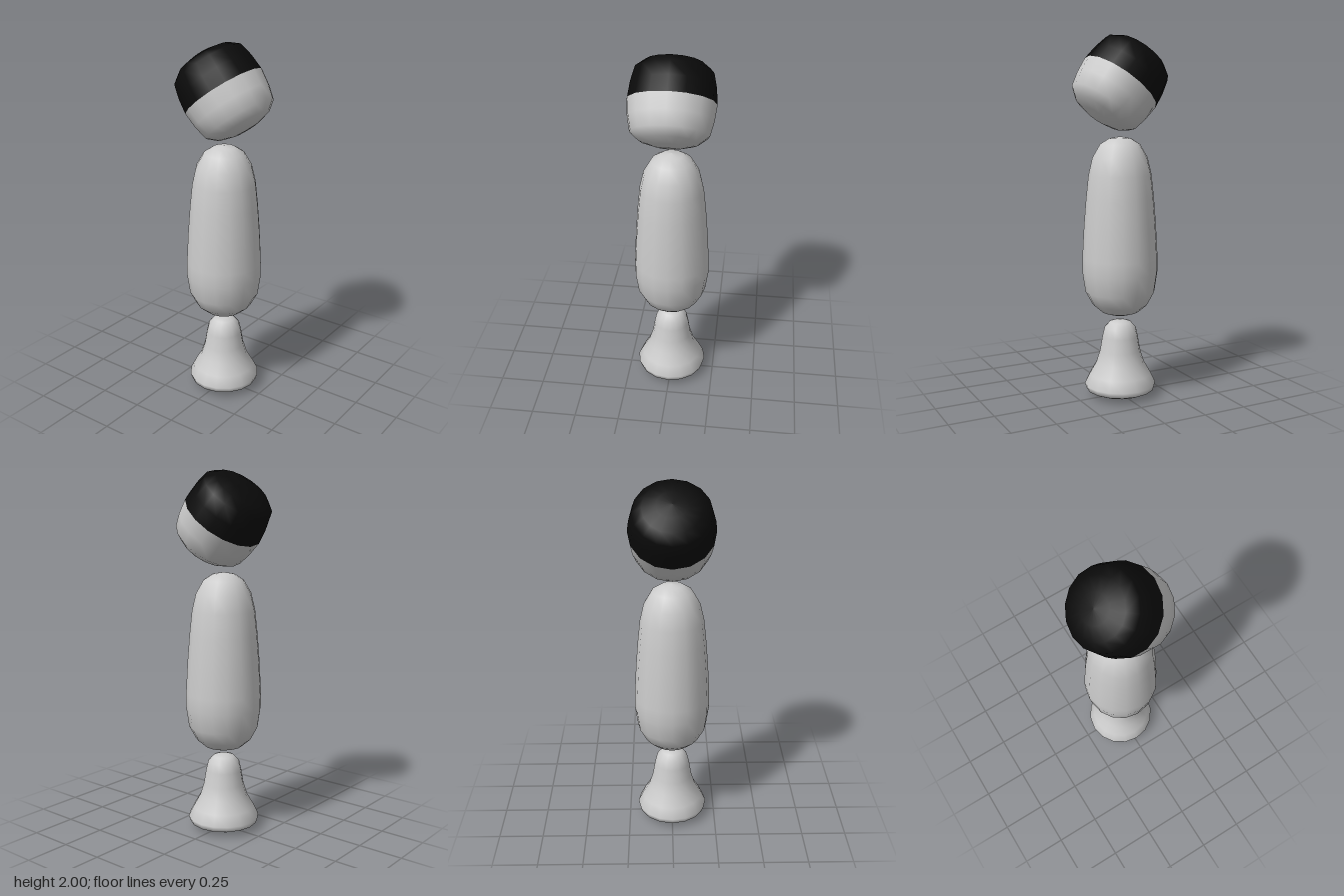
import * as THREE from 'three';

const SIDES = 16;

// Smooth turned part from [radius, height] pairs, listed bottom to top
function turned(name, profile, color = 0xcccccc) {
  const points = profile.map(([r, y]) => new THREE.Vector2(r, y));
  const mesh = new THREE.Mesh(
    new THREE.LatheGeometry(points, SIDES),
    new THREE.MeshStandardMaterial({ color })
  );
  mesh.name = name;
  return mesh;
}

export function createModel() {
  const model = new THREE.Group();
  model.name = 'figure';

  // Flared foot
  model.add(turned('foot', [
    [0, 0], [0.07, 0.008], [0.145, 0.018], [0.19, 0.038], [0.2, 0.068],
    [0.172, 0.125], [0.135, 0.19], [0.113, 0.26], [0.1, 0.34],
    [0.088, 0.39], [0.06, 0.422], [0.03, 0.431], [0, 0.433],
  ]));

  // Long rounded body, widest near the bottom
  model.add(turned('body', [
    [0, 0.461], [0.05, 0.466], [0.105, 0.484], [0.155, 0.527], [0.194, 0.6],
    [0.21, 0.71], [0.21, 0.79], [0.2, 0.97], [0.188, 1.12], [0.174, 1.25],
    [0.152, 1.345], [0.11, 1.418], [0.06, 1.45], [0, 1.46],
  ]));

  // Tilted head: light lower half and dark cap meeting at the middle
  const cap = [
    [0.232, 0], [0.223, 0.085], [0.205, 0.162], [0.155, 0.203],
    [0.08, 0.225], [0, 0.231],
  ];
  const face = cap.map(([r, y]) => [r, -y]).reverse();
  const head = new THREE.Group();
  head.name = 'head';
  head.add(turned('headLower', face), turned('headCap', cap, 0x0a0a0a));
  head.position.y = 1.746;
  head.rotation.z = THREE.MathUtils.degToRad(38);
  model.add(head);

  return model;
}
